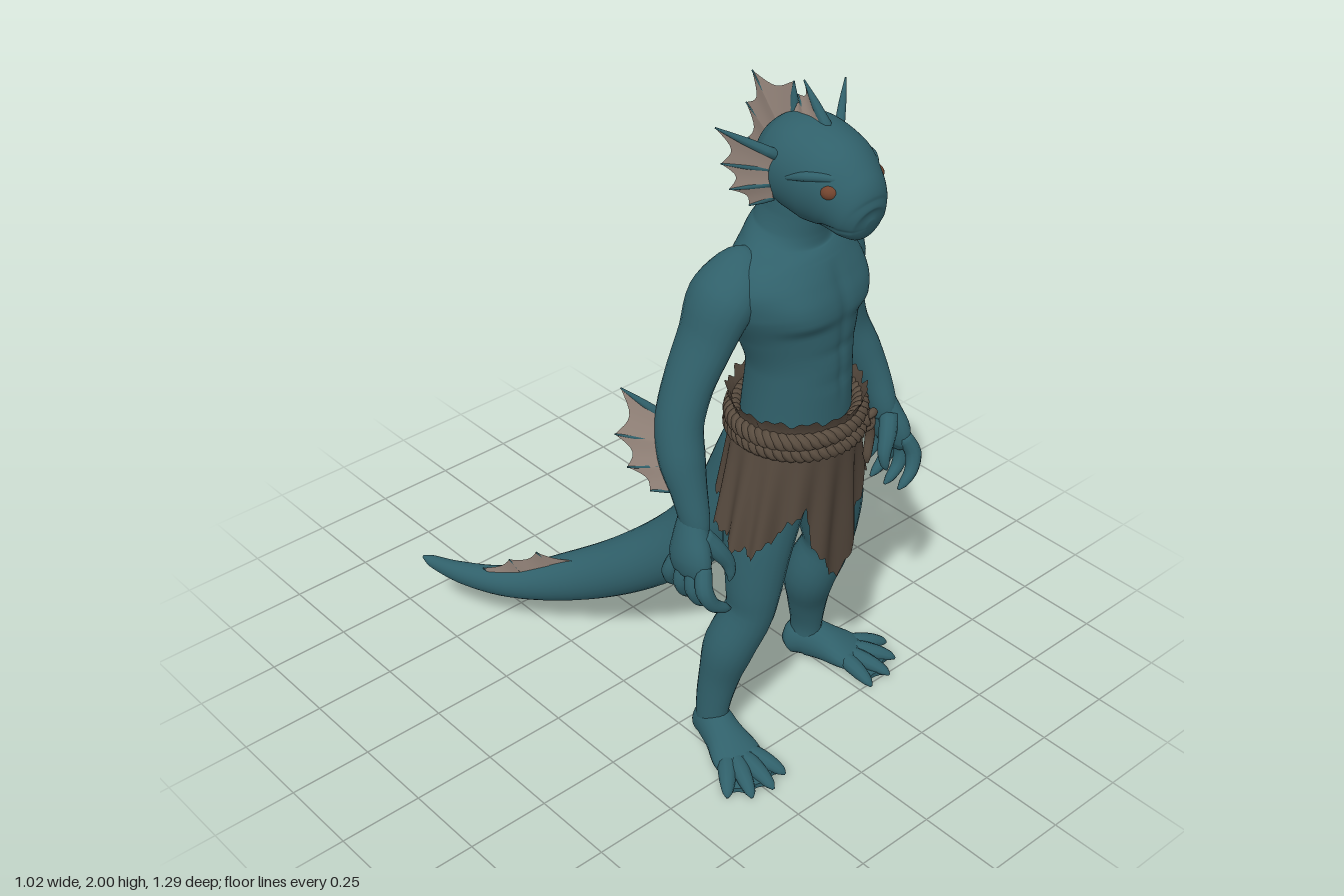
import * as THREE from 'three';

const mat = (name, color, side = THREE.FrontSide) => {
  const m = new THREE.MeshStandardMaterial({ color, side });
  m.name = name;
  return m;
};
const V = (x, y, z) => new THREE.Vector3(x, y, z);
const TWIST = 0.19; // the body is turned slightly about the vertical
const CX = 0.04;    // middle line of the body

export function createModel() {
  const skin = mat('teal skin', 0x30606a);
  const membrane = mat('pale fin membrane', 0x94847a, THREE.DoubleSide);
  const cloth = mat('brown cloth', 0x52463b, THREE.DoubleSide);
  const rope = mat('rope', 0x5a4d40);
  const eyeMat = mat('rust eye', 0x74452f);
  const model = new THREE.Group();

  const add = (name, geo, material, parent = model) => {
    const m = new THREE.Mesh(geo, material);
    m.name = name;
    parent.add(m);
    return m;
  };
  const group = (name, parent = model) => {
    const g = new THREE.Group();
    g.name = name;
    parent.add(g);
    return g;
  };

  // Smooth skin over elliptical sections [x, y, z, r1, r2] along a curved path
  function loft(secs, { radial = 20, sub = 4, side, bump } = {}) {
    const path = new THREE.CatmullRomCurve3(secs.map(s => V(s[0], s[1], s[2])));
    const radii = new THREE.CatmullRomCurve3(secs.map(s => V(s[3], s[4] ?? s[3], 0)));
    const dir = path.getPoint(1).sub(path.getPoint(0)).normalize();
    const ref = side ?? (Math.abs(dir.x) > 0.8 ? V(0, 0, 1) : V(1, 0, 0));
    const steps = (secs.length - 1) * sub, pos = [], idx = [];
    for (let i = 0; i <= steps; i++) {
      const c = path.getPoint(i / steps), r = radii.getPoint(i / steps);
      const t = path.getTangent(i / steps);
      const a = ref.clone().addScaledVector(t, -ref.dot(t)).normalize();
      const b = t.clone().cross(a);
      for (let j = 0; j < radial; j++) {
        const th = j / radial * Math.PI * 2, k = bump ? bump(th, c) : 1;
        const p = c.clone().addScaledVector(a, Math.cos(th) * Math.max(r.x, 0.001) * k)
          .addScaledVector(b, Math.sin(th) * Math.max(r.y, 0.001) * k);
        pos.push(p.x, p.y, p.z);
        if (i < steps) {
          const p0 = i * radial + j, p1 = i * radial + (j + 1) % radial;
          idx.push(p0, p1, p0 + radial, p1, p1 + radial, p0 + radial);
        }
      }
    }
    const n = pos.length / 3;
    for (const e of [0, 1]) pos.push(...path.getPoint(e).toArray());
    for (let j = 0; j < radial; j++) {
      const k = (j + 1) % radial, l = n - radial;
      idx.push(n, k, j, n + 1, l + j, l + k);
    }
    return mesh(pos, idx);
  }
  function mesh(pos, idx) {
    const g = new THREE.BufferGeometry();
    g.setAttribute('position', new THREE.Float32BufferAttribute(pos, 3));
    g.setIndex(idx);
    g.computeVertexNormals();
    return g;
  }

  // Torso with chest, belly, shoulder blade and spine relief
  const bell = (v, c, w) => Math.exp(-(((v - c) / w) ** 2));
  const step = (a, b, v) => THREE.MathUtils.smoothstep(v, a, b);
  const relief = (th, p) => {
    const f = Math.PI / 2, chest = step(1.335, 1.37, p.y) * (1 - step(1.41, 1.52, p.y));
    const pec = (bell(th, f - 0.58, 0.42) + bell(th, f + 0.58, 0.42)) * chest * 0.1;
    const mid = bell(th, f, 0.1) * step(1.1, 1.2, p.y) * (1 - step(1.45, 1.52, p.y)) * 0.04;
    const abs = bell(th, f, 0.5) * (bell(p.y, 1.27, 0.014) + bell(p.y, 1.2, 0.014)) * 0.03;
    const spine = bell(th, 3 * f, 0.14) * step(1.05, 1.2, p.y) * (1 - step(1.45, 1.55, p.y)) * 0.1;
    const blade = (bell(th, 3 * f - 0.6, 0.35) + bell(th, 3 * f + 0.6, 0.35)) * bell(p.y, 1.43, 0.07) * 0.06;
    return 1 + pec + blade - mid - abs - spine;
  };
  add('torso', loft([
    [CX, 1.72, 0.375, 0.08, 0.085], [CX, 1.66, 0.37, 0.084, 0.09], [CX, 1.61, 0.36, 0.098, 0.098],
    [CX, 1.57, 0.353, 0.138, 0.112], [CX, 1.525, 0.355, 0.2, 0.132], [CX, 1.46, 0.367, 0.23, 0.15],
    [CX, 1.4, 0.378, 0.22, 0.16], [CX, 1.32, 0.392, 0.18, 0.15], [CX, 1.22, 0.405, 0.151, 0.138],
    [CX, 1.08, 0.4, 0.155, 0.145], [CX, 0.95, 0.395, 0.165, 0.15], [CX, 0.85, 0.39, 0.13, 0.12],
    [CX, 0.8, 0.39, 0.05, 0.06]],
  { radial: 96, sub: 10, side: V(Math.cos(TWIST), 0, -Math.sin(TWIST)), bump: relief }), skin);

  // Head with blunt snout and a pressed-in mouth line
  const head = group('head');
  const lips = (th, p) => 1 - 0.05 * step(0.53, 0.57, p.z) * bell(p.y + Math.sin(th) * 0.075, 1.682, 0.007);
  add('skull', loft([
    [CX, 1.79, 0.283, 0.02, 0.02], [CX, 1.79, 0.3, 0.075, 0.075], [CX, 1.79, 0.35, 0.115, 0.115],
    [CX, 1.79, 0.42, 0.127, 0.13], [CX, 1.772, 0.5, 0.12, 0.13], [CX, 1.742, 0.56, 0.099, 0.108],
    [CX, 1.708, 0.605, 0.077, 0.073], [CX, 1.696, 0.627, 0.054, 0.054], [CX, 1.693, 0.637, 0.015, 0.018]],
  { radial: 96, sub: 8, bump: lips }), skin, head);
  for (const s of [-1, 1]) {
    const eye = add('eye', new THREE.SphereGeometry(0.03, 20, 14), eyeMat, head);
    eye.position.set(CX + s * 0.074, 1.789, 0.567);
    eye.scale.set(0.95, 0.8, 0.9);
    add('brow', loft([[CX + s * 0.03, 1.797, 0.595, 0.005], [CX + s * 0.07, 1.821, 0.572, 0.012],
      [CX + s * 0.106, 1.82, 0.518, 0.013], [CX + s * 0.12, 1.8, 0.46, 0.006]], { radial: 10 }), skin, head);
    add('lowerLid', loft([[CX + s * 0.045, 1.768, 0.597, 0.004], [CX + s * 0.085, 1.76, 0.566, 0.008],
      [CX + s * 0.11, 1.775, 0.52, 0.005]], { radial: 10 }), skin, head);
  }

  // Webbed fin: rays [base, tip], the first one stronger, joined by scalloped membrane thicker at the root
  function fin(name, rays, r = 0.011, root = 0.01) {
    const g = group(name), pos = [], idx = [], n = 8;
    rays.forEach(([b, t], i) => {
      const q = i ? r : r * 1.35;
      add('finRay', loft([[...b, q], [...b.map((v, k) => (v + t[k]) / 2), q * 0.7], [...t, 0.002]],
        { radial: 8, sub: 3 }), skin, g);
      if (i === rays.length - 1) return;
      const [b2, t2] = rays[i + 1], start = V(...b);
      const normal = V(...b2).sub(start).cross(V(...t).sub(start)).normalize();
      for (const s of [-1, 1]) for (let j = 0; j <= n; j++) {
        const u = j / n, base = start.clone().lerp(V(...b2), u);
        const tip = V(...t).lerp(V(...t2), u).lerp(base, 0.24 * Math.sin(Math.PI * u));
        base.addScaledVector(normal, s * root);
        const o = pos.length / 3;
        pos.push(...base.toArray(), ...tip.toArray());
        if (j < n) idx.push(...(s > 0 ? [o, o + 2, o + 1, o + 1, o + 2, o + 3] : [o, o + 1, o + 2, o + 1, o + 3, o + 2]));
      }
    });
    add('finMembrane', mesh(pos, idx), membrane, g);
  }
  for (const s of [-1, 1]) fin('earFin', [
    [[0.11, 1.84, 0.41], [0.225, 1.915, 0.315]], [[0.115, 1.8, 0.4], [0.21, 1.815, 0.32]],
    [[0.115, 1.76, 0.4], [0.195, 1.745, 0.335]], [[0.105, 1.72, 0.4], [0.15, 1.695, 0.36]],
  ].map(ray => ray.map(([x, y, z]) => [CX + s * x, y, z])));
  const crest = rays => rays.map(([z, y, tz, ty]) => [[CX, y, z], [CX, ty, tz]]);
  fin('frontCrest', crest([[0.48, 1.895, 0.39, 2.0], [0.41, 1.91, 0.37, 1.955], [0.37, 1.9, 0.365, 1.93]]), 0.012, 0.016);
  fin('backCrest', crest([[0.36, 1.9, 0.355, 1.985], [0.32, 1.86, 0.205, 1.965], [0.3, 1.81, 0.185, 1.87],
    [0.295, 1.75, 0.195, 1.775], [0.29, 1.69, 0.235, 1.68], [0.28, 1.64, 0.265, 1.59]]), 0.01, 0.015);
  fin('leftArmFin', [[[0.375, 1.13, 0.22], [0.43, 1.215, 0.07]], [[0.4, 1.07, 0.235], [0.445, 1.11, 0.095]],
    [[0.415, 1.01, 0.265], [0.45, 1.025, 0.13]], [[0.43, 0.95, 0.3], [0.45, 0.945, 0.2]]], 0.011, 0.014);
  fin('rightArmFin', [[[-0.335, 1.13, 0.3], [-0.42, 1.22, 0.22]], [[-0.35, 1.07, 0.315], [-0.455, 1.1, 0.235]],
    [[-0.355, 1.01, 0.34], [-0.445, 1.01, 0.27]], [[-0.355, 0.95, 0.37], [-0.41, 0.945, 0.32]]], 0.011, 0.014);
  fin('tailFin', [[[-0.215, 0.285, -0.245], [-0.24, 0.302, -0.25]], [[-0.255, 0.255, -0.31], [-0.305, 0.32, -0.335]],
    [[-0.315, 0.22, -0.385], [-0.355, 0.278, -0.405]], [[-0.37, 0.2, -0.46], [-0.4, 0.225, -0.48]]], 0.008, 0.015);

  // Arms, from shoulder to wrist
  add('leftArm', loft([[0.16, 1.525, 0.325, 0.03, 0.05], [0.215, 1.507, 0.31, 0.055, 0.08], [0.262, 1.445, 0.295, 0.075, 0.1],
    [0.296, 1.35, 0.278, 0.064, 0.088], [0.34, 1.23, 0.258, 0.061, 0.073], [0.37, 1.13, 0.255, 0.062, 0.069],
    [0.405, 1.04, 0.28, 0.058, 0.065], [0.43, 0.95, 0.32, 0.045, 0.051], [0.438, 0.87, 0.35, 0.037, 0.045],
    [0.44, 0.83, 0.355, 0.03, 0.04]]), skin);
  add('rightArm', loft([[-0.08, 1.525, 0.37, 0.03, 0.05], [-0.135, 1.507, 0.357, 0.055, 0.08], [-0.187, 1.445, 0.345, 0.077, 0.098],
    [-0.23, 1.35, 0.338, 0.064, 0.085], [-0.285, 1.23, 0.33, 0.061, 0.073], [-0.32, 1.13, 0.335, 0.062, 0.069],
    [-0.335, 1.04, 0.36, 0.062, 0.065], [-0.34, 0.95, 0.395, 0.048, 0.051], [-0.342, 0.87, 0.42, 0.038, 0.045],
    [-0.342, 0.83, 0.425, 0.03, 0.04]]), skin);

  // Hands with curled fingers, palms inward
  function hand(name, s, x, y, z) {
    const g = group(name);
    const at = (dx, dy, dz, ...r) => [x + s * dx, y + dy, z + dz, ...r];
    add('palm', loft([at(0, 0.03, -0.01, 0.03, 0.038), at(0.012, -0.03, 0, 0.04, 0.056), at(0.026, -0.09, 0.012, 0.042, 0.072),
      at(0.028, -0.13, 0.015, 0.033, 0.068), at(0.022, -0.15, 0.015, 0.01, 0.045)]), skin, g);
    for (let i = 0; i < 4; i++) {
      const f = -0.052 + i * 0.039, drop = -0.015 * Math.sin((i + 0.4) * 0.85);
      add('finger', loft([at(0.028, -0.1, f * 0.8 + 0.015, 0.022), at(0.046, -0.15 + drop, f * 1.15 + 0.015, 0.024),
        at(0.028, -0.195 + drop, f * 1.35 + 0.015, 0.02), at(-0.01, -0.222 + drop, f * 1.4 + 0.018, 0.014),
        at(-0.03, -0.234 + drop, f * 1.4 + 0.018, 0.004)], { radial: 10 }), skin, g);
    }
    add('thumb', loft([at(0, -0.03, 0.03, 0.028), at(-0.03, -0.075, 0.055, 0.026), at(-0.055, -0.12, 0.07, 0.02),
      at(-0.058, -0.155, 0.078, 0.013), at(-0.052, -0.175, 0.08, 0.003)], { radial: 10 }), skin, g);
  }
  hand('leftHand', 1, 0.438, 0.875, 0.35);
  hand('rightHand', -1, -0.342, 0.865, 0.42);

  // Legs, from hip to ankle
  add('leftLeg', loft([[0.12, 0.98, 0.38, 0.06, 0.09], [0.152, 0.86, 0.375, 0.105, 0.122], [0.2, 0.7, 0.37, 0.098, 0.115],
    [0.22, 0.56, 0.365, 0.077, 0.09], [0.226, 0.48, 0.355, 0.066, 0.076], [0.21, 0.36, 0.312, 0.073, 0.08],
    [0.235, 0.24, 0.28, 0.06, 0.063], [0.25, 0.13, 0.265, 0.045, 0.052], [0.25, 0.05, 0.265, 0.044, 0.047]]), skin);
  add('rightLeg', loft([[-0.03, 0.98, 0.4, 0.06, 0.09], [-0.065, 0.86, 0.41, 0.105, 0.12], [-0.11, 0.7, 0.42, 0.09, 0.107],
    [-0.135, 0.56, 0.432, 0.075, 0.084], [-0.145, 0.48, 0.43, 0.066, 0.074], [-0.183, 0.36, 0.395, 0.071, 0.076],
    [-0.2, 0.24, 0.37, 0.059, 0.061], [-0.217, 0.13, 0.36, 0.045, 0.052], [-0.217, 0.05, 0.36, 0.044, 0.047]]), skin);

  // Webbed feet with four splayed toes
  function foot(name, x, z, heading, splay) {
    const g = group(name);
    g.position.set(x, 0, z);
    g.rotation.y = heading;
    add('sole', loft([[0, 0.035, -0.062, 0.015, 0.02], [0, 0.043, -0.045, 0.042, 0.043], [0, 0.065, 0, 0.052, 0.065],
      [0, 0.055, 0.06, 0.058, 0.055], [0, 0.036, 0.13, 0.075, 0.036], [0, 0.02, 0.18, 0.066, 0.02],
      [0, 0.015, 0.2, 0.03, 0.01]]), skin, g);
    const web = new THREE.Shape().moveTo(0, 0.06);
    for (let i = 0; i < 4; i++) {
      const a = (i - 1.5) * splay, len = 0.208 - 0.012 * Math.abs(i - 1.5);
      const p = (k, off = 0) => [Math.sin(a + off) * len * k, 0.075 + Math.cos(a + off) * len * k];
      const toe = (k, y, ...r) => [p(k)[0], y, p(k)[1], ...r];
      add('toe', loft([toe(0.2, 0.04, 0.022), toe(0.5, 0.035, 0.027, 0.024), toe(0.75, 0.025, 0.023, 0.021),
        toe(0.93, 0.014, 0.015, 0.012), toe(1, 0.006, 0.004)], { radial: 10 }), skin, g);
      if (i) web.quadraticCurveTo(...p(0.74, -splay / 2), ...p(0.93)); else web.lineTo(...p(0.93));
    }
    const geo = new THREE.ExtrudeGeometry(web, { depth: 0.014, bevelEnabled: false });
    geo.rotateX(Math.PI / 2).translate(0, 0.016, 0);
    add('toeWeb', geo, skin, g);
  }
  foot('leftFoot', 0.25, 0.262, 0.56, 0.4);
  foot('rightFoot', -0.217, 0.362, -0.2, 0.35);

  // Tail sweeping back and to the right
  add('tail', loft([[0.045, 0.98, 0.32, 0.06, 0.06], [0.035, 0.84, 0.255, 0.1, 0.11], [0.015, 0.64, 0.17, 0.102, 0.106],
    [-0.035, 0.47, 0.06, 0.095, 0.1], [-0.12, 0.325, -0.1, 0.085, 0.09], [-0.22, 0.225, -0.27, 0.066, 0.076],
    [-0.342, 0.175, -0.43, 0.047, 0.05], [-0.435, 0.188, -0.55, 0.032, 0.035], [-0.495, 0.225, -0.615, 0.018, 0.018],
    [-0.512, 0.24, -0.635, 0.004, 0.004]], { radial: 28, sub: 6 }), skin);

  // Ragged wrap: lower edge given as [degrees, height], 90 being the front
  const waist = group('waistWrap');
  waist.position.set(CX, 0, 0.4);
  waist.rotation.y = TWIST;
  const hem = [[0, 0.74], [20, 0.72], [38, 0.79], [54, 0.85], [60, 0.75], [75, 0.66], [88, 0.54], [102, 0.63], [114, 0.72],
    [125, 0.85], [145, 0.78], [165, 0.72], [190, 0.75], [215, 0.77], [240, 0.84], [252, 1.0], [288, 1.0], [300, 0.84],
    [330, 0.76], [360, 0.74]];
  const hemAt = d => {
    const i = Math.max(1, hem.findIndex(h => h[0] >= d)), [a, b] = [hem[i - 1], hem[i]];
    return THREE.MathUtils.lerp(a[1], b[1], (d - a[0]) / (b[0] - a[0]));
  };
  const N = 180, ROWS = 10, pos = [], idx = [];
  for (let j = 0; j <= N; j++) {
    const d = j / N * 360, th = d * Math.PI / 180;
    const rag = 0.016 * Math.sin(j * 1.3) * Math.sin(j * 0.57);
    const top = 1.115 + 0.014 * Math.sin(j * 0.7) * Math.sin(j * 0.23);
    for (let i = 0; i <= ROWS; i++) {
      const v = i / ROWS, y = THREE.MathUtils.lerp(top, hemAt(d) + rag, v), low = Math.max(0, 1.05 - y);
      const fold = 0.016 * Math.sin(th * 14 + v) * Math.min(1, low * 3), lip = Math.max(0, y - 1.08) * 0.5;
      const rx = 0.174 + low * 0.31 + fold + lip;
      const rz = 0.168 + low * (th < Math.PI ? -0.03 : 0.06) + fold * 0.7 + lip;
      pos.push(Math.cos(th) * rx, y, Math.sin(th) * rz);
      const o = j * (ROWS + 1) + i;
      if (j < N && i < ROWS) idx.push(o, o + ROWS + 1, o + 1, o + 1, o + ROWS + 1, o + ROWS + 2);
    }
  }
  add('loincloth', mesh(pos, idx), cloth, waist);

  // Twisted rope belt: two turns, three strands each, with a knot and loose end
  class Strand extends THREE.Curve {
    constructor(y, tilt, phase) { super(); Object.assign(this, { y, tilt, phase }); }
    getPoint(t, out = V(0, 0, 0)) {
      const th = t * Math.PI * 2, w = th * 16 + this.phase, r = 0.012 * Math.cos(w);
      return out.set(Math.cos(th) * (0.178 + r), this.y + this.tilt * Math.cos(th) + 0.013 * Math.sin(w), Math.sin(th) * (0.168 + r));
    }
  }
  for (const [y, tilt] of [[1.06, 0.008], [1.012, -0.01]])
    for (let k = 0; k < 3; k++)
      add('ropeStrand', new THREE.TubeGeometry(new Strand(y, tilt, k * Math.PI * 2 / 3), 260, 0.0145, 6, true), rope, waist);
  const knot = add('ropeKnot', new THREE.TorusKnotGeometry(0.018, 0.012, 48, 8), rope, waist);
  knot.position.set(0.11, 1.02, 0.157);
  add('ropeEnd', loft([[0.11, 1.02, 0.162, 0.013], [0.125, 0.96, 0.16, 0.014], [0.12, 0.9, 0.158, 0.013],
    [0.122, 0.87, 0.157, 0.006]], { radial: 8 }), rope, waist);

  return model;
}
